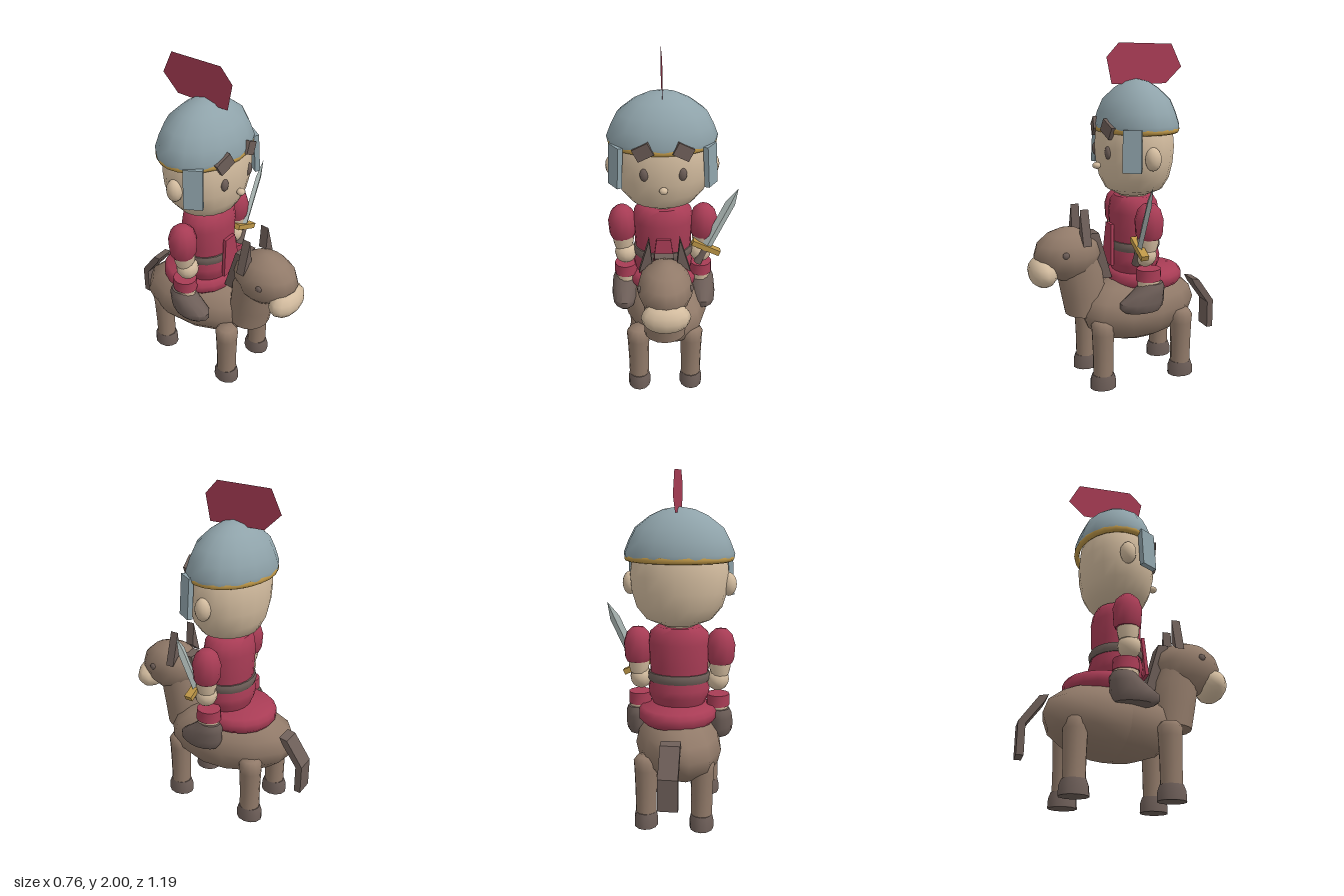
import * as THREE from 'three';
import { toCreasedNormals } from 'three/addons/utils/BufferGeometryUtils.js';

const mat = (name, color, side = THREE.FrontSide) => {
  const m = new THREE.MeshStandardMaterial({ color, side });
  m.name = name;
  return m;
};

// Skin through elliptical rings [y, rx, rz, zCentre], listed bottom to top
function loft(rings, seg = 16, crease = 0.8) {
  const pos = [], idx = [];
  rings.forEach(([y, rx, rz = rx, zc = 0]) => {
    for (let j = 0; j < seg; j++) {
      const a = (j / seg) * Math.PI * 2;
      pos.push(rx * Math.cos(a), y, zc + rz * Math.sin(a));
    }
  });
  for (let i = 0; i < rings.length - 1; i++) {
    for (let j = 0; j < seg; j++) {
      const k = (j + 1) % seg, a = i * seg + j, b = i * seg + k;
      idx.push(a, a + seg, b, b, a + seg, b + seg);
    }
  }
  const g = new THREE.BufferGeometry();
  g.setAttribute('position', new THREE.Float32BufferAttribute(pos, 3));
  g.setIndex(idx);
  return toCreasedNormals(g, crease);
}

// Close a loft with flat ends
const capped = (rings, seg, crease) => loft([
  [rings[0][0], 0, 0, rings[0][3]], ...rings,
  [rings.at(-1)[0], 0, 0, rings.at(-1)[3]]], seg, crease);

// Outline in the x-y plane, extruded along z and centred
function slab(points, depth) {
  const shape = new THREE.Shape(points.map(([x, y]) => new THREE.Vector2(x, y)));
  return new THREE.ExtrudeGeometry(shape, { depth, bevelEnabled: false }).translate(0, 0, -depth / 2);
}
// Outline given as [z, y], extruded along x and centred
const sideSlab = (points, width) => slab(points.map(([z, y]) => [-z, y]), width).rotateY(Math.PI / 2);

const ball = (rx, ry, rz, w = 14, h = 10) => new THREE.SphereGeometry(1, w, h).scale(rx, ry, rz);

export function createModel() {
  const red = mat('crimson cloth', 0xa83c55);
  const crestRed = mat('crest crimson', 0xa83c55, THREE.DoubleSide);
  const skin = mat('skin', 0xd3bc9f);
  const hide = mat('donkey hide', 0x917a69);
  const dark = mat('dark brown', 0x6d5e58);
  const steel = mat('helmet steel', 0x8fa3aa);
  const gold = mat('gold', 0xbd9647);
  const blade = mat('blade steel', 0xaebab7);

  const root = new THREE.Group();
  root.name = 'mountedSoldier';
  const mount = new THREE.Group();
  mount.name = 'donkey';
  const rider = new THREE.Group();
  rider.name = 'rider';
  root.add(mount, rider);
  mount.position.x = rider.position.x = -0.055;

  const add = (parent, name, geo, material, x = 0, y = 0, z = 0) => {
    const m = new THREE.Mesh(geo, material);
    m.name = name;
    m.position.set(x, y, z);
    parent.add(m);
    return m;
  };

  // --- Donkey: body, neck, head
  add(mount, 'body', ball(0.25, 0.21, 0.4, 12, 8).rotateY(Math.PI / 12), hide, 0, 0.44, -0.09)
    .geometry.computeVertexNormals();
  add(mount, 'neck', capped([
    [0.43, 0.122, 0.12, 0.255], [0.55, 0.12, 0.135, 0.265],
    [0.69, 0.122, 0.14, 0.285], [0.85, 0.11, 0.1, 0.31]], 16), hide);
  add(mount, 'donkeyHead', loft([
    [0.63, 0, 0, 0.35], [0.66, 0.08, 0.09, 0.35], [0.72, 0.13, 0.16, 0.355], [0.8, 0.157, 0.2, 0.36],
    [0.87, 0.14, 0.18, 0.36], [0.925, 0.1, 0.12, 0.36], [0.955, 0.04, 0.05, 0.355], [0.965, 0, 0, 0.355]],
  16, 1.2), hide);
  add(mount, 'muzzle', ball(0.138, 0.092, 0.085, 12, 8), skin, 0, 0.71, 0.51);
  add(mount, 'mane', sideSlab([[0.24, 0.92], [0.18, 0.92], [0.14, 0.78], [0.1, 0.64], [0.17, 0.64]], 0.11), dark);
  add(mount, 'tail', sideSlab([
    [-0.44, 0.56], [-0.49, 0.55], [-0.595, 0.4], [-0.595, 0.22],
    [-0.555, 0.22], [-0.555, 0.39], [-0.46, 0.52]], 0.11), dark);
  add(mount, 'saddle', capped([
    [0.58, 0.2, 0.21], [0.605, 0.225, 0.23], [0.645, 0.225, 0.23], [0.67, 0.205, 0.21]], 18, 1), red, 0, 0, -0.13);

  for (const s of [-1, 1]) {
    add(mount, 'donkeyEye', ball(0.012, 0.02, 0.02, 10, 8), dark, s * 0.143, 0.83, 0.41);
    const ear = [[s * 0.145, 0.87], [s * 0.07, 0.93], [s * 0.085, 1.075]];
    add(mount, 'donkeyEar', slab(ear, 0.05), dark, 0, 0, 0.28);
    for (const z of [0.2, -0.31]) {
      add(mount, 'leg', capped([
        [0.07, 0.06], [0.2, 0.061], [0.34, 0.066], [0.39, 0.07], [0.42, 0.05]], 12, 1), hide, s * 0.16, 0, z);
      add(mount, 'hoof', capped([
        [0, 0.068, 0.08], [0.05, 0.068, 0.078], [0.085, 0.06, 0.065]], 12, 0.7), dark, s * 0.16, 0, z);
    }
  }

  // --- Rider: torso
  add(rider, 'tunic', capped([
    [0.8, 0.165, 0.135], [0.9, 0.17, 0.14], [1.03, 0.178, 0.145],
    [1.09, 0.17, 0.135], [1.125, 0.13, 0.115]], 18, 1), red, 0, 0, -0.06);
  add(rider, 'skirt', capped([
    [0.65, 0.14, 0.12], [0.72, 0.175, 0.15], [0.76, 0.18, 0.155], [0.83, 0.165, 0.137]], 18, 0.9), red, 0, 0, -0.06);
  add(rider, 'belt', capped([
    [0.805, 0.176, 0.148], [0.82, 0.182, 0.154], [0.842, 0.182, 0.154], [0.857, 0.176, 0.148]], 18), dark, 0, 0, -0.06);
  const apron = add(rider, 'apron', slab([[-0.075, 0], [0.075, 0], [0.042, 0.24], [-0.042, 0.24]], 0.02), red, 0, 0.72, 0.105);
  apron.rotation.x = -0.06;
  add(rider, 'neckSkin', capped([[1.08, 0.085], [1.16, 0.085]], 14), skin, 0, 0, -0.06);

  // Head and face
  add(rider, 'head', loft([
    [1.13, 0, 0], [1.135, 0.1, 0.1], [1.17, 0.19, 0.165], [1.24, 0.247, 0.2], [1.33, 0.275, 0.218],
    [1.42, 0.283, 0.224], [1.52, 0.272, 0.216], [1.62, 0.22, 0.18], [1.68, 0, 0]], 20, 1.2), skin, 0, 0, -0.062);
  add(rider, 'nose', ball(0.025, 0.02, 0.025, 10, 8), skin, 0, 1.31, 0.17);
  for (const s of [-1, 1]) {
    add(rider, 'eye', ball(0.025, 0.038, 0.018, 12, 8), dark, s * 0.105, 1.395, 0.14);
    add(rider, 'ear', ball(0.045, 0.067, 0.047, 12, 8), skin, s * 0.282, 1.37, -0.06);
    const brow = add(rider, 'eyebrow', new THREE.BoxGeometry(0.1, 0.075, 0.03), dark, s * 0.109, 1.528, 0.14);
    brow.rotation.set(0, s * 0.2, -s * 0.5);
    const guard = add(rider, 'cheekGuard', new THREE.BoxGeometry(0.03, 0.235, 0.105), steel, s * 0.265, 1.415, 0.057);
    guard.rotation.set(0, -s * 0.55, s * 0.06);
  }

  // Helmet
  add(rider, 'helmetDome', loft([
    [1.525, 0.312, 0.236], [1.545, 0.315, 0.238], [1.615, 0.287, 0.217], [1.685, 0.25, 0.187],
    [1.75, 0.165, 0.12], [1.785, 0.09, 0.065], [1.8, 0, 0]], 16, 1.2), steel, 0, 0, -0.077);
  add(rider, 'helmetRim', new THREE.TorusGeometry(1, 0.07, 8, 24).rotateX(Math.PI / 2)
    .scale(0.291, 0.3, 0.222), gold, 0, 1.52, -0.077);
  const crest = new THREE.Shape([[-0.03, 2], [0.3, 1.995], [0.365, 1.865], [0.265, 1.77], [-0.075, 1.77], [-0.105, 1.92]]
    .map(([x, y]) => new THREE.Vector2(x, y)));
  add(rider, 'crest', new THREE.ShapeGeometry(crest).rotateY(Math.PI / 2), crestRed);

  // Arms and legs
  for (const s of [-1, 1]) {
    add(rider, 'sleeve', capped([
      [0.91, 0.066], [0.935, 0.078], [1.02, 0.084], [1.08, 0.066], [1.11, 0.035]], 12, 1), red, s * 0.242, 0, -0.055);
    add(rider, 'forearm', capped([[0.84, 0.05], [0.875, 0.06], [0.92, 0.064]], 12), skin, s * 0.238, 0, -0.05);
    add(rider, 'hand', ball(0.066, 0.068, 0.066, 12, 8), skin, s * 0.226, 0.81, -0.04);
    add(rider, 'trouserCuff', capped([[0.66, 0.068, 0.075], [0.728, 0.066, 0.072]], 14), red, s * 0.23, 0, -0.06);
    add(rider, 'shin', capped([[0.6, 0.055, 0.065], [0.67, 0.06, 0.07]], 14), skin, s * 0.232, 0, -0.06);
    add(rider, 'boot', capped([
      [0.48, 0.062, 0.11, -0.015], [0.5, 0.074, 0.13, -0.01], [0.535, 0.078, 0.135, -0.015],
      [0.59, 0.074, 0.1, -0.052], [0.62, 0.07, 0.083, -0.07], [0.645, 0.058, 0.066, -0.075]], 14, 0.9), dark, s * 0.24, 0, 0);
  }

  // Sword in the left hand
  const sword = new THREE.Group();
  sword.name = 'sword';
  sword.position.set(0.255, 0.86, 0.01);
  sword.rotation.z = -0.44;
  rider.add(sword);
  add(sword, 'blade', loft([
    [0, 0.03, 0.014], [0.32, 0.03, 0.012], [0.425, 0, 0]], 4, 0.2), blade);
  add(sword, 'crossguard', new THREE.BoxGeometry(0.18, 0.032, 0.045), gold);
  add(sword, 'grip', capped([[-0.115, 0.026], [0, 0.02]], 10), dark);

  // Mirrored prisms need outward faces
  root.traverse((o) => {
    if (o.isMesh && o.name === 'donkeyEar') o.geometry.computeVertexNormals();
  });
  return root;
}
